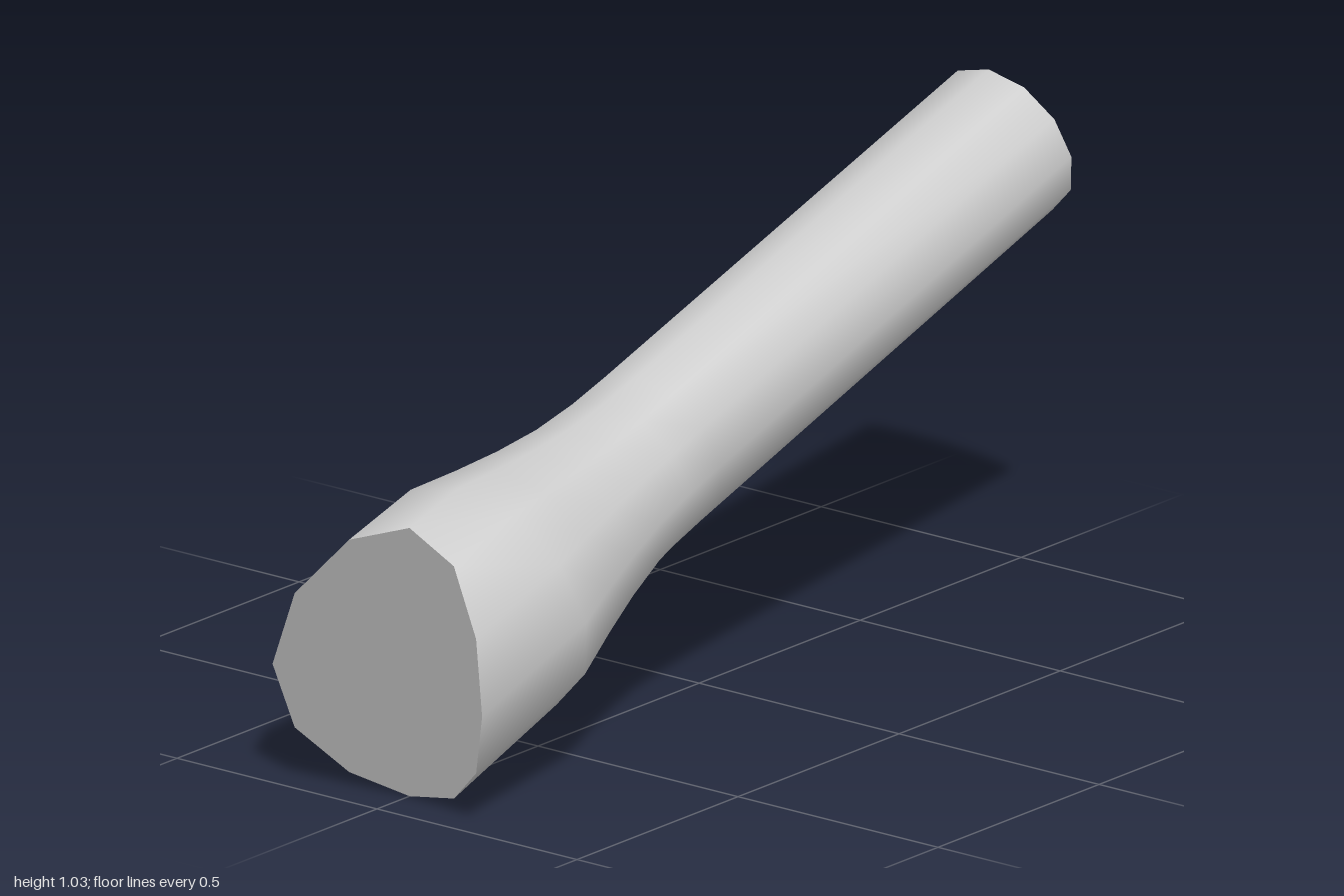
import * as THREE from 'three';

const SIDES = 12;
const axis = new THREE.Vector3(0, -0.3057, 0.952).normalize(); // tail to head
const up = new THREE.Vector3(0, 0.952, 0.3057).normalize();
const tail = new THREE.Vector3(0, 0.8725, -0.95);

// [distance along the axis, radius]
const profile = [
  [0, 0.166], [1.15, 0.17], [1.25, 0.172], [1.36, 0.181],
  [1.47, 0.2], [1.58, 0.225], [1.7, 0.256], [1.942, 0.262],
];

// point on a ring; the last ring is cut to a slanted saddle
function ringPoint(i, j) {
  const a = (j / SIDES) * Math.PI * 2;
  let [s, r] = profile[i];
  if (i === profile.length - 1) s += 0.105 * Math.sin(a) ** 2 - 0.084 * Math.cos(a);
  const p = tail.clone().addScaledVector(axis, s).addScaledVector(up, r * Math.cos(a));
  p.x = r * Math.sin(a);
  return p;
}

function makeGeometry(points, index) {
  const g = new THREE.BufferGeometry().setFromPoints(points);
  g.setIndex(index);
  g.computeVertexNormals();
  return g;
}

export function createModel() {
  const group = new THREE.Group();
  group.name = 'flaredTube';
  const grey = new THREE.MeshStandardMaterial({ color: 0xcccccc, side: THREE.DoubleSide });
  grey.name = 'light grey';

  // smooth tube, open at the tail
  const points = [], index = [];
  for (let i = 0; i < profile.length; i++) {
    for (let j = 0; j < SIDES; j++) {
      points.push(ringPoint(i, j));
      if (i === profile.length - 1) continue;
      const k = (j + 1) % SIDES;
      const a = i * SIDES + j, b = a + SIDES, c = i * SIDES + k, d = c + SIDES;
      index.push(a, b, c, b, d, c);
    }
  }
  const tube = new THREE.Mesh(makeGeometry(points, index), grey);
  tube.name = 'tubeBody';
  group.add(tube);

  // saddle-shaped cap fanned from the rim's centre, shaded as one face
  const rim = points.slice(-SIDES);
  const centre = new THREE.Vector3();
  rim.forEach((p) => centre.addScaledVector(p, 1 / SIDES));
  const fan = [];
  for (let j = 0; j < SIDES; j++) fan.push(SIDES, (j + 1) % SIDES, j);
  const capGeometry = makeGeometry([...rim, centre], fan);
  const normals = capGeometry.attributes.normal;
  for (let j = 0; j <= SIDES; j++) normals.setXYZ(j, axis.x, axis.y, axis.z);
  const cap = new THREE.Mesh(capGeometry, grey);
  cap.name = 'headCap';
  group.add(cap);

  return group;
}
